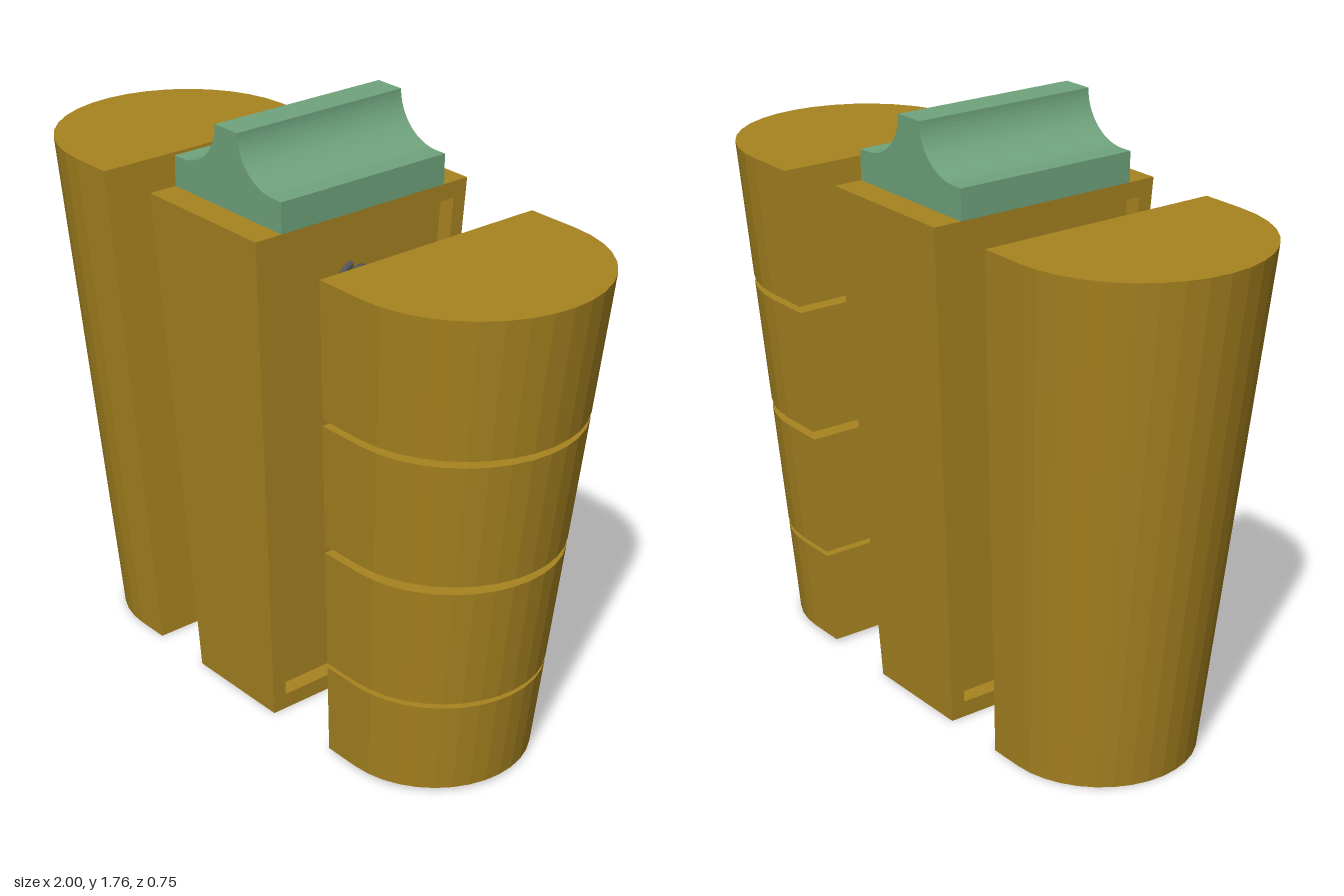
import * as THREE from 'three';

const H = 1.53;
const lerp = THREE.MathUtils.lerp;
const halfDepth = (y) => lerp(0.285, 0.377, y / H);
const coreLeft = (y) => lerp(-0.205, -0.265, y / H);
const coreRight = (y) => lerp(0.145, 0.2, y / H);
const RECESS = 0.05;

const brown = new THREE.MeshStandardMaterial({ color: 0xa88420, flatShading: true });
const green = new THREE.MeshStandardMaterial({ color: 0x6fa37c, flatShading: true });
const steel = new THREE.MeshStandardMaterial({ color: 0x555555 });

function mesh(name, geometry, material) {
  const m = new THREE.Mesh(geometry, material);
  m.name = name;
  return m;
}

// D-shaped outline at height y: flat inner face, rounded outer side
function dRing(side, y, inner, outer) {
  const w = halfDepth(y);
  const flat = lerp(inner[0], inner[1], y / H);
  const centre = lerp(outer[0], outer[1], y / H) - w;
  const ring = [new THREE.Vector3(side * flat, y, w)];
  const steps = 18;
  for (let i = 0; i <= steps; i++) {
    const a = (i / steps) * Math.PI;
    ring.push(new THREE.Vector3(side * (centre + w * Math.sin(a)), y, w * Math.cos(a)));
  }
  ring.push(new THREE.Vector3(side * flat, y, -w));
  return side < 0 ? ring.reverse() : ring;
}

// Closed solid between two convex outlines
function loft(low, high) {
  const points = [];
  const n = low.length;
  for (let i = 0; i < n; i++) {
    const j = (i + 1) % n;
    points.push(low[i], low[j], high[j], low[i], high[j], high[i]);
    if (i > 0 && j > 0) points.push(high[0], high[i], high[j], low[0], low[j], low[i]);
  }
  const g = new THREE.BufferGeometry().setFromPoints(points);
  g.computeVertexNormals();
  return g;
}

// Tapered outline in the depth/height plane
function taperedOutline(y0, y1, inset, Type = THREE.Shape) {
  const a = halfDepth(y0) - inset, b = halfDepth(y1) - inset;
  return new Type([
    new THREE.Vector2(-a, y0), new THREE.Vector2(a, y0),
    new THREE.Vector2(b, y1), new THREE.Vector2(-b, y1),
  ]);
}

// Extrude across the width and lean both sides to the core's taper
function coreSolid(shape, margin) {
  const g = new THREE.ExtrudeGeometry(shape, { depth: 1, bevelEnabled: false });
  g.rotateY(Math.PI / 2);
  const p = g.attributes.position;
  for (let i = 0; i < p.count; i++) {
    const y = p.getY(i);
    p.setX(i, lerp(coreLeft(y) + margin, coreRight(y) - margin, p.getX(i)));
  }
  g.computeVertexNormals();
  return g;
}

class Helix extends THREE.Curve {
  constructor(x0, x1, y, turns) {
    super();
    Object.assign(this, { x0, x1, y, turns });
  }
  getPoint(t, target = new THREE.Vector3()) {
    const a = t * this.turns * Math.PI * 2;
    return target.set(lerp(this.x0, this.x1, t), this.y + 0.04 * Math.cos(a), 0.04 * Math.sin(a));
  }
}

function spring(name, x0, x1, y) {
  const turns = Math.round(Math.abs(x1 - x0) / 0.038);
  return mesh(name, new THREE.TubeGeometry(new Helix(x0, x1, y, turns), turns * 18, 0.012, 8), steel);
}

export function createModel() {
  const model = new THREE.Group();
  model.name = 'sprungBlock';

  // Core: frame open to both sides, with a recessed panel
  const frame = taperedOutline(0, H, 0);
  frame.holes.push(taperedOutline(0.05, H - 0.05, 0.045, THREE.Path));
  const core = new THREE.Group();
  core.name = 'core';
  core.add(mesh('coreFrame', coreSolid(frame, 0), brown));
  core.add(mesh('corePanel', coreSolid(taperedOutline(0.04, H - 0.04, 0.04), RECESS), brown));
  model.add(core);

  // Cap with concave shoulders
  const cap = new THREE.Shape();
  cap.moveTo(-0.265, H);
  cap.lineTo(0.2, H);
  cap.lineTo(0.2, 1.62);
  cap.lineTo(0.165, 1.62);
  cap.absellipse(0.165, 1.76, 0.15, 0.14, -Math.PI / 2, -Math.PI, true);
  cap.lineTo(-0.08, 1.76);
  cap.absellipse(-0.23, 1.76, 0.15, 0.14, 0, -Math.PI / 2, true);
  cap.lineTo(-0.265, 1.62);
  const capGeometry = new THREE.ExtrudeGeometry(cap, { depth: 0.58, bevelEnabled: false, curveSegments: 10 });
  capGeometry.translate(0, 0, -0.29);
  model.add(mesh('cap', capGeometry, green));

  // One-piece side shell
  const solid = (y) => dRing(-1, y, [0.41, 0.485], [0.8, 1.0]);
  model.add(mesh('solidShell', loft(solid(0), solid(H)), brown));

  // Side shell split into stacked segments
  const split = (y) => dRing(1, y, [0.395, 0.461], [0.797, 1.0]);
  [[0.01, 0.295], [0.31, 0.68], [0.705, 1.08], [1.1, 1.51]].forEach(([y0, y1], i) => {
    model.add(mesh(`shellSegment${i + 1}`, loft(split(y0), split(y1)), brown));
  });

  // Springs from the recessed panel to each shell
  [0.155, 0.495, 0.895, 1.31].forEach((y, i) => {
    model.add(spring(`leftSpring${i + 1}`, coreRight(y) - RECESS, lerp(0.395, 0.461, y / H), y));
  });
  [0.405, 0.78, 1.205].forEach((y, i) => {
    model.add(spring(`rightSpring${i + 1}`, coreLeft(y) + RECESS, -lerp(0.41, 0.485, y / H), y));
  });
  return model;
}
